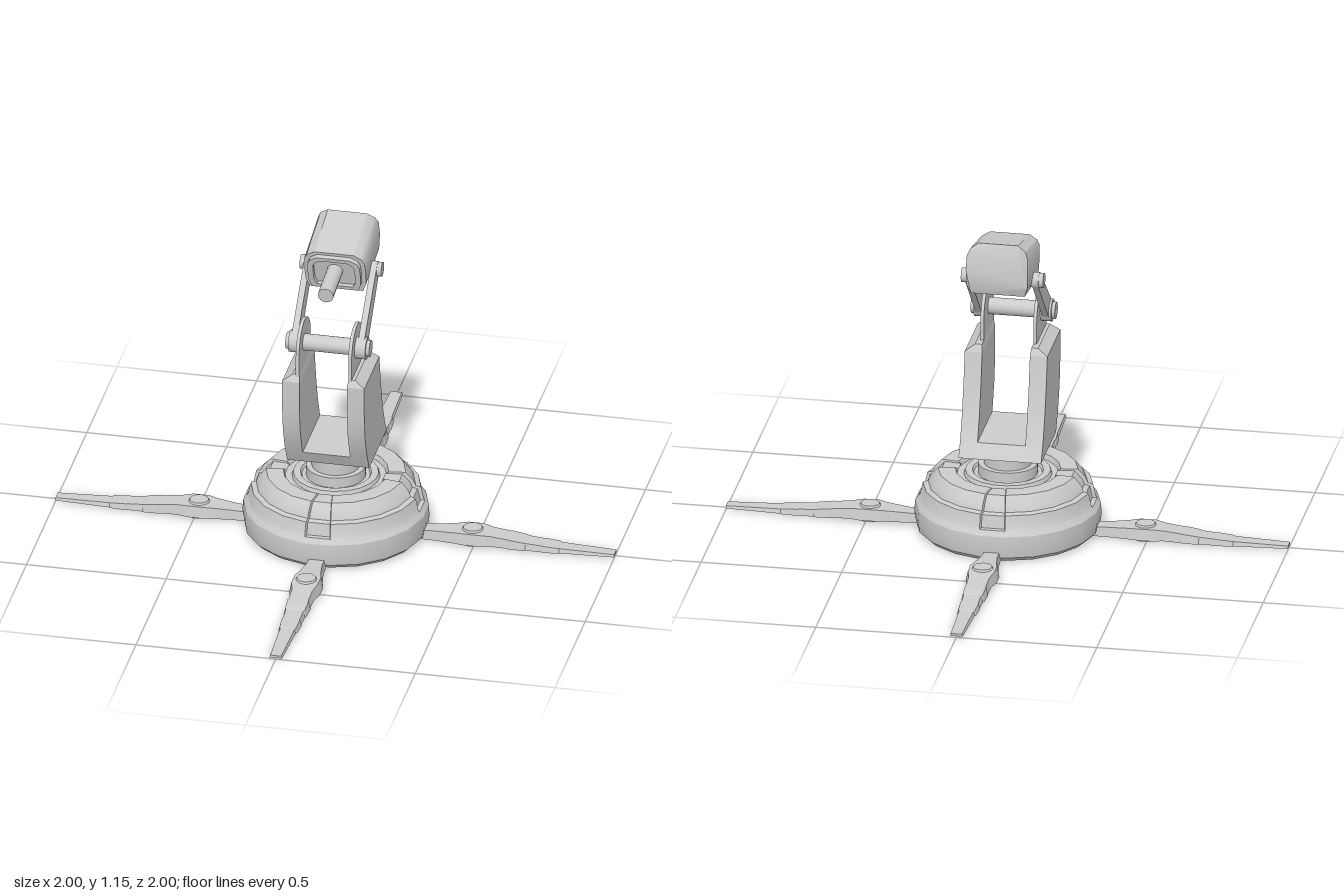
import * as THREE from 'three';
import { toCreasedNormals } from 'three/addons/utils/BufferGeometryUtils.js';

const grey = new THREE.MeshStandardMaterial({ color: 0xcccccc });

function add(parent, name, geometry, crease = 0.5) {
  const mesh = new THREE.Mesh(toCreasedNormals(geometry, crease), grey);
  mesh.name = name;
  parent.add(mesh);
  return mesh;
}

// moves every vertex by a rule
function warp(geometry, rule) {
  const p = geometry.attributes.position;
  const v = new THREE.Vector3();
  for (let i = 0; i < p.count; i++) {
    rule(v.fromBufferAttribute(p, i), i);
    p.setXYZ(i, v.x, v.y, v.z);
  }
  return geometry;
}

// flat plate with a [z, y] outline, spanning x0..x1
function plate(outline, xa, xb) {
  const x0 = Math.min(xa, xb), x1 = Math.max(xa, xb);
  const shape = new THREE.Shape(outline.map(([z, y]) => new THREE.Vector2(-z, y)));
  return new THREE.ExtrudeGeometry(shape, { depth: x1 - x0, bevelEnabled: false })
    .rotateY(Math.PI / 2).translate(x0, 0, 0);
}

// cylinder along x
function pin(radius, xa, xb, y, z, sides = 20) {
  return new THREE.CylinderGeometry(radius, radius, Math.abs(xb - xa), sides)
    .rotateZ(Math.PI / 2).translate((xa + xb) / 2, y, z);
}

function arc(z, y, r, from, to, n = 10) {
  return Array.from({ length: n + 1 }, (_, i) => {
    const a = from + (to - from) * i / n;
    return [z + r * Math.cos(a), y + r * Math.sin(a)];
  });
}

// domed base with four shallow radial grooves
function baseGeometry() {
  const profile = [
    [0, 0.003], [0.305, 0.003], [0.322, 0.02], [0.328, 0.06], [0.325, 0.1], [0.312, 0.118],
    [0.308, 0.125], [0.298, 0.17], [0.28, 0.175], [0.272, 0.195], [0.245, 0.226], [0.185, 0.226],
    [0.178, 0.208], [0.155, 0.208], [0.15, 0.222], [0.125, 0.222], [0.12, 0.212], [0, 0.212],
  ].map(([r, y]) => new THREE.Vector2(r, y));
  const angles = [-8, 8, 8.5, 26.75, 45, 63.25, 81.5];
  const n = profile.length;
  return warp(new THREE.LatheGeometry(profile, 28), (v, index) => {
    const i = Math.floor(index / n), k = i % 7;
    let { x: r, y } = profile[index % n];
    if (k < 2 && y > 0.12 && r > 0.18) { r -= 0.012; y -= 0.006; }
    const a = THREE.MathUtils.degToRad(angles[k] + 90 * Math.floor(i / 7));
    v.set(r * Math.sin(a), y, r * Math.cos(a));
  });
}

// tapering leg along +x: [distance, half width, bottom, top]
function legGeometry() {
  const s = [
    [0.27, 0.03, 0.005, 0.036], [0.36, 0.033, 0.005, 0.04], [0.43, 0.045, 0.008, 0.046],
    [0.465, 0.055, 0.01, 0.05], [0.52, 0.055, 0.01, 0.05], [0.56, 0.043, 0.009, 0.045],
    [0.62, 0.041, 0.006, 0.038], [0.625, 0.044, 0.006, 0.038], [0.68, 0.041, 0.004, 0.031],
    [0.685, 0.037, 0.004, 0.029], [0.74, 0.035, 0.003, 0.025], [0.745, 0.038, 0.003, 0.025],
    [0.8, 0.034, 0.003, 0.021], [0.805, 0.03, 0.003, 0.019], [1, 0.023, 0.005, 0.014],
  ];
  const n = s.length - 1;
  return warp(new THREE.BoxGeometry(1, 1, 1, n, 1, 1), (v) => {
    const [d, w, lo, hi] = s[Math.round((v.x + 0.5) * n)];
    const top = v.y > 0;
    v.set(d, top ? hi : lo, Math.sign(v.z) * w * (top ? 0.85 : 1));
  });
}

// head solid: outline in [x, height 0..1], t runs from front 0 to back 1
function headGeometry(outline, t0, t1, hole) {
  const shape = new THREE.Shape(outline.map(([x, v]) => new THREE.Vector2(x, v)));
  if (hole) shape.holes.push(new THREE.Path(hole.map(([x, v]) => new THREE.Vector2(x, v))));
  const lerp = THREE.MathUtils.lerp;
  return warp(new THREE.ExtrudeGeometry(shape, { depth: 1, bevelEnabled: false }), (p) => {
    const t = p.z > 0.5 ? t0 : t1, h = p.y;
    const front = lerp(-0.008, 0.037, h);
    const back = lerp(-0.2, -0.188, h) - 0.104 * h * (1 - h);
    p.y = lerp(lerp(0.945, 1.105, h), lerp(0.968, 1.155, h), t);
    p.z = lerp(front, back, t);
  });
}

export function createModel() {
  const model = new THREE.Group();
  model.name = 'turret';

  // base and swivel column
  const base = new THREE.Group();
  base.name = 'base';
  model.add(base);
  add(base, 'baseDome', baseGeometry());
  add(base, 'collar', new THREE.CylinderGeometry(0.105, 0.105, 0.045, 24).translate(0, 0.228, 0));
  add(base, 'column', new THREE.CylinderGeometry(0.085, 0.085, 0.1, 24).translate(0, 0.285, 0));

  // four legs with a foot pad and a top boss
  for (let i = 0; i < 4; i++) {
    const leg = new THREE.Group();
    leg.name = 'leg';
    leg.rotation.y = i * Math.PI / 2;
    add(leg, 'legBeam', legGeometry(), 0.3);
    add(leg, 'footPad', new THREE.CylinderGeometry(0.042, 0.042, 0.02, 16).translate(0.49, 0.01, 0));
    add(leg, 'legBoss', new THREE.CylinderGeometry(0.033, 0.038, 0.01, 16).translate(0.49, 0.052, 0));
    model.add(leg);
  }

  // U-shaped yoke
  const yoke = new THREE.Group();
  yoke.name = 'yoke';
  model.add(yoke);
  const cheek = [
    [-0.16, 0.32], [0.13, 0.32], [0.168, 0.39], [0.198, 0.47], [0.212, 0.56], [0.214, 0.675],
    [-0.038, 0.675], [-0.062, 0.56], [-0.092, 0.455], [-0.128, 0.37],
  ];
  add(yoke, 'yokeFloor', plate([[-0.16, 0.32], [0.13, 0.32], [0.157, 0.37], [-0.128, 0.37]], -0.086, 0.086));

  // lower arms, ears and links, mirrored
  const pivot = { z: 0.118, y: 0.788 }, wrist = { z: -0.095, y: 0.99 };
  const lean = Math.atan2(wrist.y - pivot.y, wrist.z - pivot.z);
  const link = [
    ...arc(pivot.z, pivot.y, 0.036, lean + Math.PI / 2, lean + Math.PI * 1.5),
    ...arc(wrist.z, wrist.y, 0.028, lean - Math.PI / 2, lean + Math.PI / 2),
  ];
  const ear = [[0.012, 0.69], [0.204, 0.69], ...arc(0.108, 0.775, 0.096, 0, Math.PI, 16)];
  for (const s of [-1, 1]) {
    add(yoke, 'yokeCheek', plate(cheek, s * 0.085, s * 0.147));
    const shoulder = plate([[-0.038, 0.675], [0.214, 0.675], [0.2, 0.7], [-0.025, 0.7]], s * 0.085, s * 0.147);
    add(yoke, 'yokeShoulder', warp(shoulder, (v) => {
      if (v.y > 0.69) v.x = s * THREE.MathUtils.clamp(Math.abs(v.x), 0.088, 0.112);
    }));
    add(yoke, 'yokeEar', plate(ear, s * 0.088, s * 0.1));
    add(model, 'link', plate(link, s * 0.108, s * 0.13));
    add(model, 'axleCap', pin(0.04, s * 0.098, s * 0.138, pivot.y, pivot.z));
    add(model, 'axleNut', pin(0.03, s * 0.138, s * 0.15, pivot.y, pivot.z));
    add(model, 'wristPin', pin(0.026, s * 0.09, s * 0.146, wrist.y, wrist.z));
  }
  add(model, 'axle', pin(0.03, -0.1, 0.1, pivot.y, pivot.z));

  // tilted head with a raised front frame
  const head = new THREE.Group();
  head.name = 'head';
  model.add(head);
  const half = [[0.096, 0], [0.108, 0.2], [0.11, 0.5], [0.108, 0.78], [0.098, 0.9], [0.07, 1]];
  const outline = [...half, ...half.slice().reverse().map(([x, v]) => [-x, v])];
  const inset = (k) => outline.map(([x, v]) => [x * k, 0.5 + (v - 0.5) * k]);
  add(head, 'headShell', headGeometry(outline, 0, 1));
  add(head, 'frontFrame', headGeometry(inset(0.86), -0.08, 0.03, inset(0.68)));

  // barrel
  const barrel = new THREE.Group();
  barrel.name = 'barrel';
  barrel.position.set(0, 1.009, 0.172);
  barrel.rotation.x = Math.PI / 2 + 0.12;
  add(barrel, 'barrelTube', new THREE.CylinderGeometry(0.028, 0.028, 0.19, 16).translate(0, -0.095, 0));
  head.add(barrel);

  return model;
}
